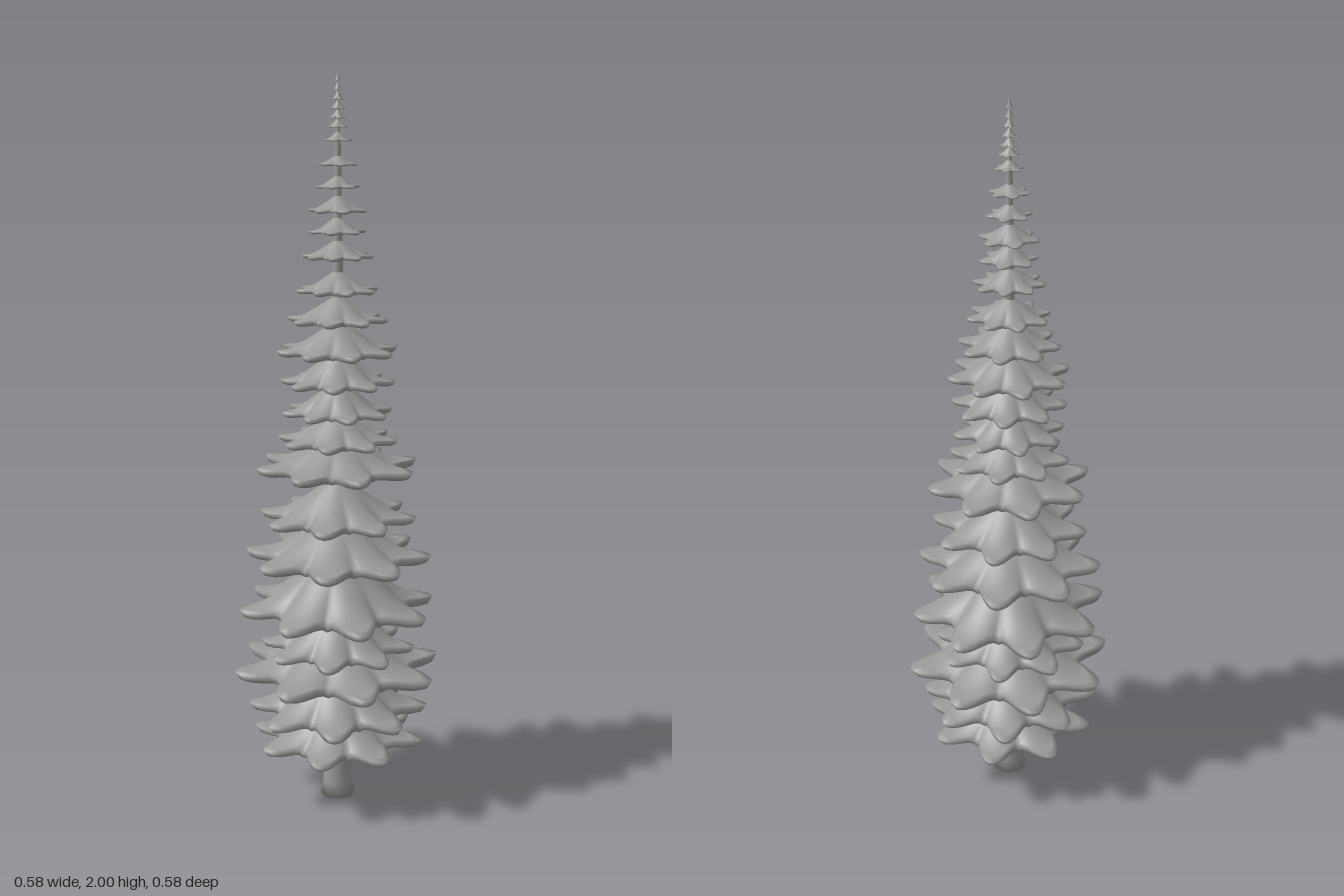
import * as THREE from 'three';

const needleGrey = new THREE.MeshStandardMaterial({ color: 0x999999, side: THREE.DoubleSide });
needleGrey.name = 'needle grey';

// One whorl of branches: a concave skirt cut into rounded tongues, whose rim
// rolls over into a plump underside that thins out towards the trunk
function whorl(top, tipY, radius, lobes, phase) {
  const over = 8, under = 8, perLobe = 12, steps = perLobe * lobes, h = top - tipY;
  const pos = [], index = [];
  for (let i = 0; i <= over + under; i++) {
    const below = i > over;
    const t = below ? 1 - ((i - over) / under) ** 1.5 : i / over;
    const thick = below ? 0.35 * radius * Math.sqrt(1 - t) * t * t : 0;
    for (let j = 0; j <= steps; j++) {
      const a = (j / steps) * Math.PI * 2;
      // w runs from 0 on the tongue's midline to 1 in the notch
      const u = (j % perLobe) / perLobe;
      const w = 2 * Math.min(u, 1 - u);
      const cut = Math.pow(Math.sin((w * Math.PI) / 2), 1.8);
      const s = 0.05 + t * (0.95 - 0.31 * cut * t);
      const droop = (0.12 * h + 0.06 * radius) * w * w * t * t * t;
      const dip = 0.04 * radius * Math.sin(Math.PI * t * t);
      const y = tipY + h * Math.pow(1 - s, 1.5) - droop - dip - thick;
      pos.push(Math.cos(a + phase) * s * radius, y, Math.sin(a + phase) * s * radius);
      if (i < over + under && j < steps) {
        const p = i * (steps + 1) + j, q = p + steps + 1;
        index.push(p, p + 1, q, p + 1, q + 1, q);
      }
    }
  }
  const g = new THREE.BufferGeometry();
  g.setAttribute('position', new THREE.Float32BufferAttribute(pos, 3));
  g.setIndex(index);
  g.computeVertexNormals();
  return g;
}

export function createModel() {
  const tree = new THREE.Group();
  tree.name = 'conifer';

  // Flared, tapering trunk that runs up to the leader
  const profile = [[0, 0], [0.048, 0], [0.041, 0.04], [0.036, 0.12], [0.033, 0.3], [0.027, 0.95],
    [0.014, 1.45], [0.008, 1.8], [0, 2]].map(([r, y]) => new THREE.Vector2(r, y));
  const trunk = new THREE.Mesh(new THREE.LatheGeometry(profile, 14), needleGrey);
  trunk.name = 'trunk';
  tree.add(trunk);

  // Whorls: top height, tongue tip height, radius, half-step turn (1) or not (0), extra turn
  const tiers = [
    [0.33, 0.185, 0.24, 1, 0.09], [0.44, 0.272, 0.25, 1, -0.09], [0.53, 0.395, 0.292, 0, 0],
    [0.6, 0.452, 0.215, 1, 0], [0.76, 0.57, 0.275, 0, 0.02], [0.84, 0.717, 0.257, 1, 0],
    [0.94, 0.827, 0.217, 1, 0.06], [1.06, 0.968, 0.226, 0, -0.02], [1.12, 1.04, 0.165, 1, 0.05],
    [1.21, 1.115, 0.152, 0, 0.04], [1.29, 1.197, 0.155, 1, -0.05], [1.365, 1.282, 0.166, 0, 0],
    [1.43, 1.365, 0.137, 1, 0.05], [1.495, 1.442, 0.113, 0, 0], [1.575, 1.53, 0.096, 1, 0],
    [1.635, 1.593, 0.078, 0, 0], [1.69, 1.648, 0.08, 1, 0], [1.74, 1.708, 0.06, 0, 0],
    [1.79, 1.765, 0.054, 1, 0], [1.85, 1.825, 0.038, 0, 0],
  ];
  tiers.forEach(([top, tip, r, half, turn], i) => {
    const lobes = i < 15 ? 8 : 6;
    const mesh = new THREE.Mesh(whorl(top, tip, r, lobes, (half * Math.PI) / lobes + turn), needleGrey);
    mesh.name = 'branchWhorl' + (i + 1);
    tree.add(mesh);
  });

  // Tiny whorls of the leader
  for (let k = 0; k < 6; k++) {
    const y = 1.858 + k * 0.023;
    const mesh = new THREE.Mesh(whorl(y + 0.024, y, 0.028 - k * 0.0038, 6, k * 0.5), needleGrey);
    mesh.name = 'leaderWhorl' + (k + 1);
    tree.add(mesh);
  }
  return tree;
}
